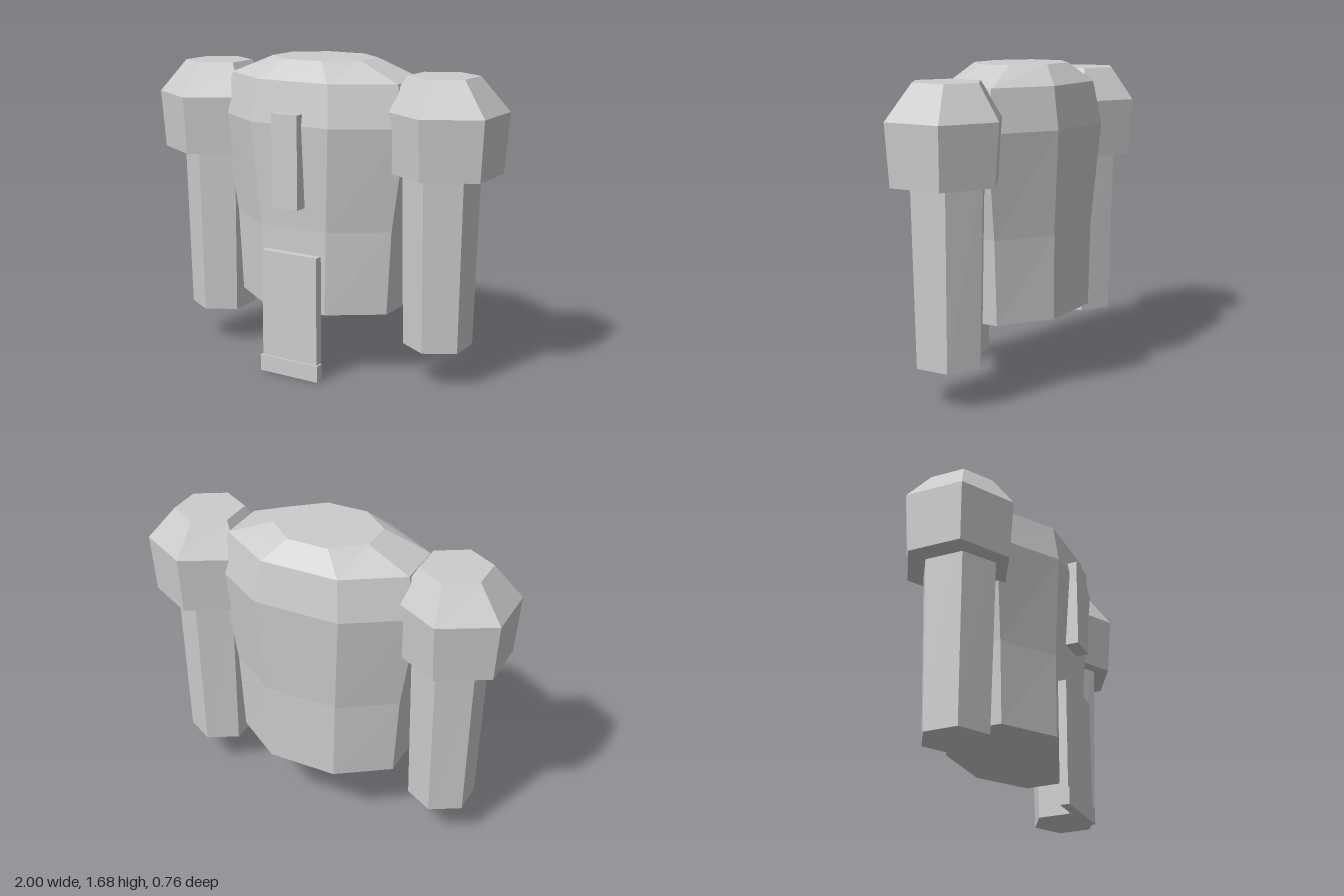
import * as THREE from 'three';

const stone = new THREE.MeshStandardMaterial({ color: 0xcccccc, flatShading: true });
stone.name = 'pale grey';

// Closed faceted solid lofted through rings of [y, centreX, centreZ, radiusX, radiusZ]
function loft(name, rings, sides, turn) {
  const pos = [];
  const point = ([y, cx, cz, rx, rz], i) => {
    const a = ((i + turn) / sides) * Math.PI * 2;
    return [cx + Math.sin(a) * rx, y, cz + Math.cos(a) * rz];
  };
  const centre = ([y, cx, cz]) => [cx, y, cz];
  const bottom = rings[0], top = rings[rings.length - 1];
  for (let i = 0; i < sides; i++) {
    for (let r = 0; r < rings.length - 1; r++) {
      const a = point(rings[r], i), b = point(rings[r], i + 1);
      const c = point(rings[r + 1], i + 1), d = point(rings[r + 1], i);
      pos.push(...a, ...b, ...c, ...a, ...c, ...d);
    }
    pos.push(...centre(top), ...point(top, i), ...point(top, i + 1));
    pos.push(...centre(bottom), ...point(bottom, i + 1), ...point(bottom, i));
  }
  const geo = new THREE.BufferGeometry();
  geo.setAttribute('position', new THREE.Float32BufferAttribute(pos, 3));
  geo.computeVertexNormals();
  const mesh = new THREE.Mesh(geo, stone);
  mesh.name = name;
  return mesh;
}

// Box given by its half width and its y and z limits
function plate(name, halfW, y0, y1, z0, z1) {
  const mesh = new THREE.Mesh(new THREE.BoxGeometry(halfW * 2, y1 - y0, z1 - z0), stone);
  mesh.position.set(0, (y0 + y1) / 2, (z0 + z1) / 2);
  mesh.name = name;
  return mesh;
}

export function createModel() {
  const model = new THREE.Group();
  model.name = 'armouredTorso';
  const cz = -0.02;

  // Eight-sided torso: [y, half width, half depth] across the flats
  const flat = 1 / Math.cos(Math.PI / 8);
  const body = [
    [0.36, 0.46, 0.315], [0.81, 0.485, 0.32], [1.36, 0.57, 0.36],
    [1.58, 0.51, 0.32], [1.68, 0.27, 0.222],
  ].map(([y, w, d]) => [y, 0, cz, w * flat, d * flat]);
  model.add(loft('torso', body, 8, 0.5));

  // Six-sided arms and shoulder pads, ridges facing front and back
  const hex = 1 / Math.cos(Math.PI / 6);
  for (const [side, s] of [['left', 1], ['right', -1]]) {
    const ring = ([y, x, w, d]) => [y, s * x, cz, w * hex, d];
    const arm = new THREE.Group();
    arm.name = side + 'ArmAssembly';
    arm.add(loft(side + 'Arm', [
      [0.205, 0.698, 0.158, 0.182], [1.2, 0.7, 0.174, 0.207],
    ].map(ring), 6, 0));
    arm.add(loft(side + 'ShoulderPad', [
      [1.127, 0.72, 0.26, 0.287], [1.443, 0.72, 0.28, 0.311], [1.622, 0.7, 0.16, 0.185],
    ].map(ring), 6, 0));
    model.add(arm);
  }

  // Chest plate and hanging front panel with its hem
  model.add(plate('chestPlate', 0.078, 0.928, 1.422, 0.3, 0.38));
  model.add(plate('frontPanel', 0.17, 0.005, 0.678, 0.298, 0.343));
  model.add(plate('frontPanelHem', 0.18, 0, 0.09, 0.305, 0.354));

  return model;
}
